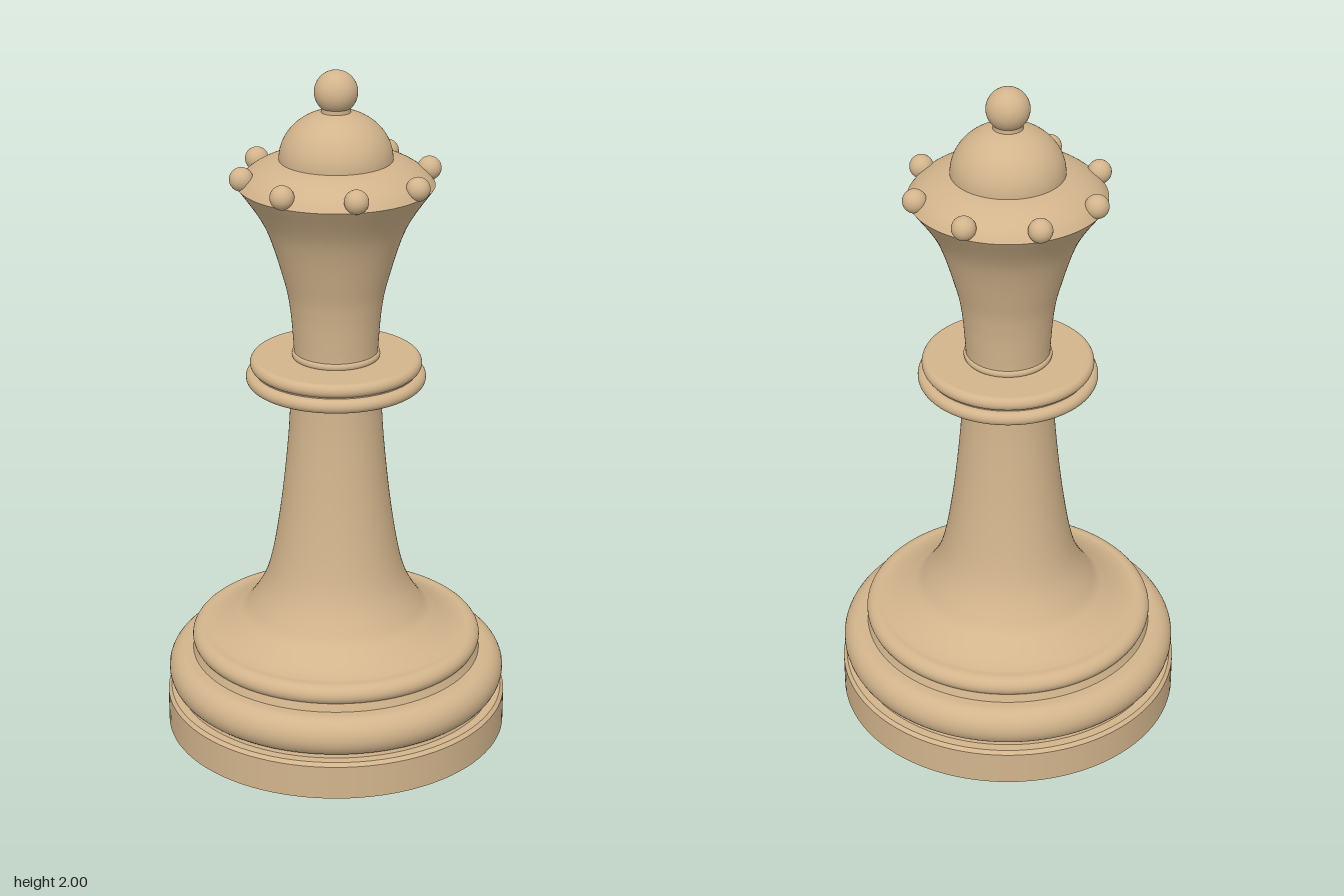
import * as THREE from 'three';

const SEGMENTS = 96;

// Smooth curve through [radius, height] pairs
const smooth = (pairs, n = 24) =>
  new THREE.SplineCurve(pairs.map(([r, y]) => new THREE.Vector2(r, y))).getPoints(n);

// Half-round bead bulging outwards between two heights
function bead(inner, outer, y0, y1, n = 16) {
  const pts = [new THREE.Vector2(0.02, y0)];
  for (let i = 0; i <= n; i++) {
    const a = -Math.PI / 2 + (Math.PI * i) / n;
    pts.push(new THREE.Vector2(
      inner + (outer - inner) * Math.cos(a),
      (y0 + y1) / 2 + ((y1 - y0) / 2) * Math.sin(a)));
  }
  pts.push(new THREE.Vector2(0.02, y1));
  return pts;
}

export function createModel() {
  const model = new THREE.Group();
  model.name = 'chessQueen';
  const wood = new THREE.MeshStandardMaterial({ color: 0xd2b48c });
  wood.name = 'tan wood';

  const add = (name, geometry, x = 0, y = 0, z = 0) => {
    const mesh = new THREE.Mesh(geometry, wood);
    mesh.name = name;
    mesh.position.set(x, y, z);
    model.add(mesh);
    return mesh;
  };
  const turn = (name, points) => add(name, new THREE.LatheGeometry(points, SEGMENTS));

  // Foot: plinth with a softened top edge, then stacked mouldings
  add('plinth', new THREE.CylinderGeometry(0.505, 0.505, 0.102, SEGMENTS), 0, 0.051, 0);
  add('plinthChamfer', new THREE.CylinderGeometry(0.495, 0.505, 0.01, SEGMENTS), 0, 0.107, 0);
  add('footCore', new THREE.CylinderGeometry(0.42, 0.47, 0.15, SEGMENTS), 0, 0.185, 0);
  turn('footRing', bead(0.445, 0.5, 0.117, 0.237));
  turn('footCollar', bead(0.395, 0.428, 0.25, 0.311));

  // Sweeping stem
  turn('stem', smooth([
    [0.4, 0.308], [0.355, 0.318], [0.3, 0.347], [0.255, 0.387], [0.2, 0.493],
    [0.164, 0.68], [0.138, 0.92], [0.13, 1.09],
  ], 48));

  // Double neck ring
  turn('lowerNeckRing', bead(0.24, 0.259, 1.082, 1.122));
  add('neckRingCore', new THREE.CylinderGeometry(0.235, 0.235, 0.02, SEGMENTS), 0, 1.123, 0);
  turn('upperNeckRing', bead(0.228, 0.247, 1.124, 1.164));
  turn('neckBead', bead(0.118, 0.127, 1.16, 1.182));

  // Flared head and its sloping crown top
  turn('flaredHead', smooth([
    [0.12, 1.165], [0.123, 1.22], [0.131, 1.31], [0.148, 1.395], [0.2, 1.555], [0.278, 1.676],
  ], 36));
  turn('crownTop', smooth([
    [0.278, 1.676], [0.258, 1.701], [0.228, 1.723], [0.19, 1.74], [0.15, 1.75],
  ]));

  // Dome, finial neck and ball
  const dome = add('dome',
    new THREE.SphereGeometry(0.16, SEGMENTS, 24, 0, Math.PI * 2, 0, Math.PI / 2), 0, 1.748, 0);
  dome.scale.y = 0.14 / 0.16;
  add('finialNeck', new THREE.CylinderGeometry(0.042, 0.042, 0.04, 48), 0, 1.888, 0);
  add('finialBall', new THREE.SphereGeometry(0.061, 48, 32), 0, 1.939, 0);

  // Eight pearls around the crown rim
  for (let i = 0; i < 8; i++) {
    const a = (i + 0.5) * (Math.PI / 4);
    add('crownPearl', new THREE.SphereGeometry(0.034, 32, 20),
      0.268 * Math.cos(a), 1.705, 0.268 * Math.sin(a));
  }
  return model;
}
